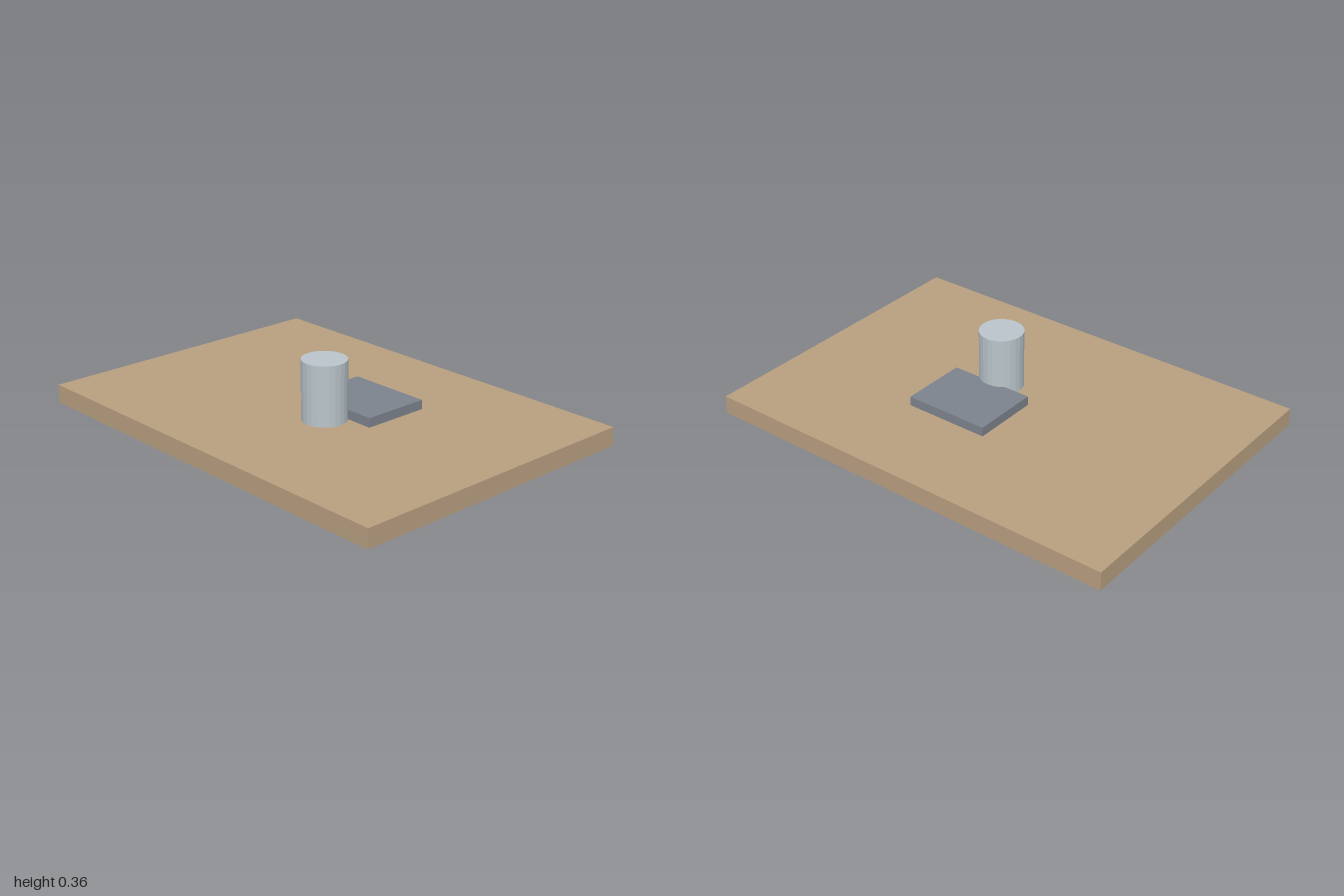
import * as THREE from 'three';

export function createModel() {
  const model = new THREE.Group();
  model.name = 'boardWithPost';

  const material = (name, color) => {
    const m = new THREE.MeshStandardMaterial({ color });
    m.name = name;
    return m;
  };
  const wood = material('wood', 0xb89f80);
  const slate = material('slate', 0x7c838d);
  const steel = material('steel', 0xb9c4ca);
  steel.flatShading = true;

  // Places a part so that its base rests at the given height
  const add = (name, geometry, mat, x, base, z, height) => {
    const mesh = new THREE.Mesh(geometry, mat);
    mesh.name = name;
    mesh.position.set(x, base + height / 2, z);
    model.add(mesh);
  };

  const u = 1 / 70; // the board is 140 units long
  const top = 6 * u;

  // Wide flat base board
  add('baseBoard', new THREE.BoxGeometry(100 * u, top, 140 * u), wood, 0, 0, 0, top);

  // Thin rectangular pad lying on the board
  add('pad', new THREE.BoxGeometry(22 * u, 3 * u, 28 * u), slate, 8 * u, top, 8 * u, 3 * u);

  // Upright post overlapping the edge of the pad
  add('post', new THREE.CylinderGeometry(7 * u, 7 * u, 19 * u, 24), steel, -8 * u, top, 8 * u, 19 * u);

  return model;
}
